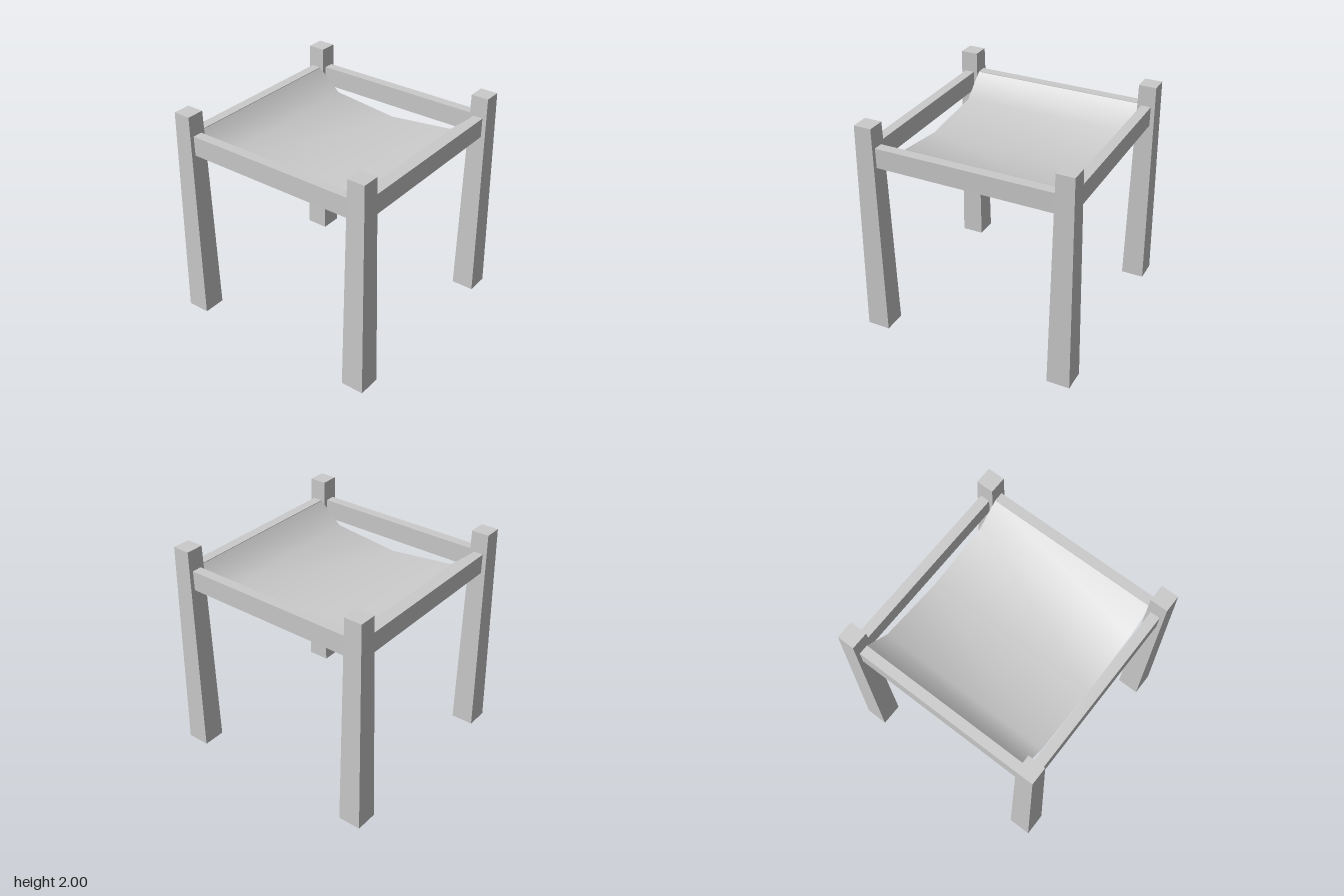
import * as THREE from 'three';

const TOP = 1.81;      // top of the rails
const OFFSET = 0.895;  // centre line of legs and rails
const SPAN = 0.815;    // half length between the legs

const material = new THREE.MeshStandardMaterial({ color: 0xcccccc });
const clothMaterial = new THREE.MeshStandardMaterial({ color: 0xcccccc, side: THREE.DoubleSide });

// Square post, wider at the foot than at the top
function legGeometry() {
  const geometry = new THREE.BoxGeometry(0.21, 2, 0.21);
  const p = geometry.attributes.position;
  for (let i = 0; i < p.count; i++) {
    const s = p.getY(i) > 0 ? 0.16 / 0.21 : 1;
    p.setXYZ(i, p.getX(i) * s, p.getY(i) + 1, p.getZ(i) * s);
  }
  geometry.computeVertexNormals();
  return geometry;
}

// Thin cloth hung between the side rails, sagging in the middle
function slingGeometry() {
  const profile = [[-0.85, 1.805], [-0.63, 1.61], [0, 1.54], [0.63, 1.61], [0.85, 1.805]];
  const geometry = new THREE.PlaneGeometry(1, 2 * SPAN, profile.length - 1, 1);
  geometry.rotateX(-Math.PI / 2);
  const p = geometry.attributes.position;
  for (let i = 0; i < p.count; i++) {
    const [x, y] = profile[i % profile.length];
    p.setXYZ(i, x, y, p.getZ(i));
  }
  geometry.computeVertexNormals();
  return geometry;
}

export function createModel() {
  const model = new THREE.Group();
  model.name = 'stool';
  const add = (name, geometry, mat, x = 0, y = 0, z = 0) => {
    const mesh = new THREE.Mesh(geometry, mat);
    mesh.name = name;
    mesh.position.set(x, y, z);
    model.add(mesh);
  };

  const leg = legGeometry();
  const crossRail = new THREE.BoxGeometry(2 * SPAN, 0.18, 0.09);
  const sideRail = new THREE.BoxGeometry(0.09, 0.18, 2 * SPAN);

  for (const s of [-1, 1]) {
    const side = s > 0 ? 'left' : 'right';
    const end = s > 0 ? 'front' : 'back';
    add(`${side}Rail`, sideRail, material, s * OFFSET, TOP - 0.09, 0);
    add(`${end}Rail`, crossRail, material, 0, TOP - 0.09, s * OFFSET);
    add(`${side}FrontLeg`, leg, material, s * OFFSET, 0, OFFSET);
    add(`${side}BackLeg`, leg, material, s * OFFSET, 0, -OFFSET);
  }
  add('seatSling', slingGeometry(), clothMaterial);
  return model;
}
